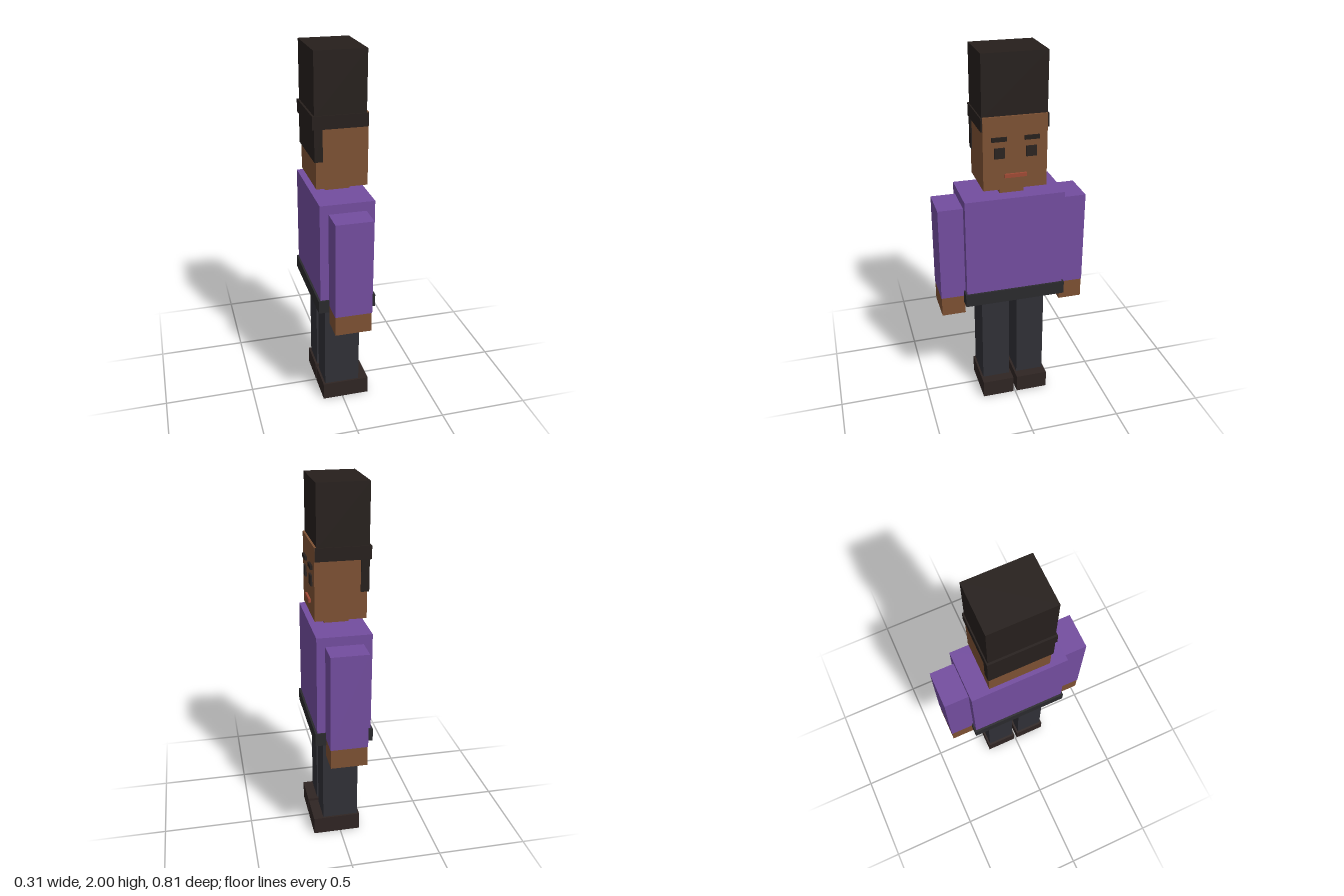
import * as THREE from 'three';

const mat = (color) => new THREE.MeshStandardMaterial({ color });

export function createModel() {
  const model = new THREE.Group();
  model.name = 'blockFigure';

  const shirt = mat(0x734d9f), skin = mat(0x7d5133), hair = mat(0x261f1c);
  const trousers = mat(0x303036), belt = mat(0x2a2a2d), shoe = mat(0x2f2523);
  const eye = mat(0x2b2320), lip = mat(0xa04a35);

  // Box given by its [min, max] extents on each axis
  const box = (name, material, [x0, x1], [y0, y1], [z0, z1]) => {
    const mesh = new THREE.Mesh(new THREE.BoxGeometry(x1 - x0, y1 - y0, z1 - z0), material);
    mesh.position.set((x0 + x1) / 2, (y0 + y1) / 2, (z0 + z1) / 2);
    mesh.name = name;
    model.add(mesh);
  };
  // Same box on both sides of the body, which faces +x
  const pair = (name, material, x, y, [z0, z1]) => {
    box(name + 'PlusZ', material, x, y, [z0, z1]);
    box(name + 'MinusZ', material, x, y, [-z1, -z0]);
  };

  // Legs and feet
  pair('shoe', shoe, [-0.112, 0.153], [0, 0.1], [0.01, 0.19]);
  pair('leg', trousers, [-0.1, 0.098], [0.1, 0.66], [0.022, 0.179]);

  // Body
  box('belt', belt, [-0.157, 0.155], [0.64, 0.712], [-0.279, 0.279]);
  box('torso', shirt, [-0.146, 0.144], [0.68, 1.255], [-0.27, 0.27]);
  box('neck', skin, [-0.066, 0.066], [1.25, 1.31], [-0.066, 0.066]);

  // Arms and hands
  pair('sleeve', shirt, [-0.1, 0.099], [0.68, 1.205], [0.268, 0.404]);
  pair('hand', skin, [-0.098, 0.097], [0.57, 0.68], [0.272, 0.402]);

  // Head and face
  box('head', skin, [-0.138, 0.133], [1.305, 1.69], [-0.168, 0.168]);
  pair('eye', eye, [0.125, 0.142], [1.475, 1.53], [0.056, 0.111]);
  pair('eyebrow', hair, [0.125, 0.145], [1.565, 1.586], [0.046, 0.125]);
  box('mouth', lip, [0.125, 0.144], [1.369, 1.389], [-0.058, 0.058]);

  // Tall hair block, band around the head and hair at the back
  box('hairTop', hair, [-0.146, 0.122], [1.68, 2], [-0.17, 0.17]);
  box('hairBand', hair, [-0.157, 0.13], [1.618, 1.687], [-0.177, 0.177]);
  box('hairBack', hair, [-0.147, -0.104], [1.45, 1.63], [-0.174, 0.174]);

  return model;
}
